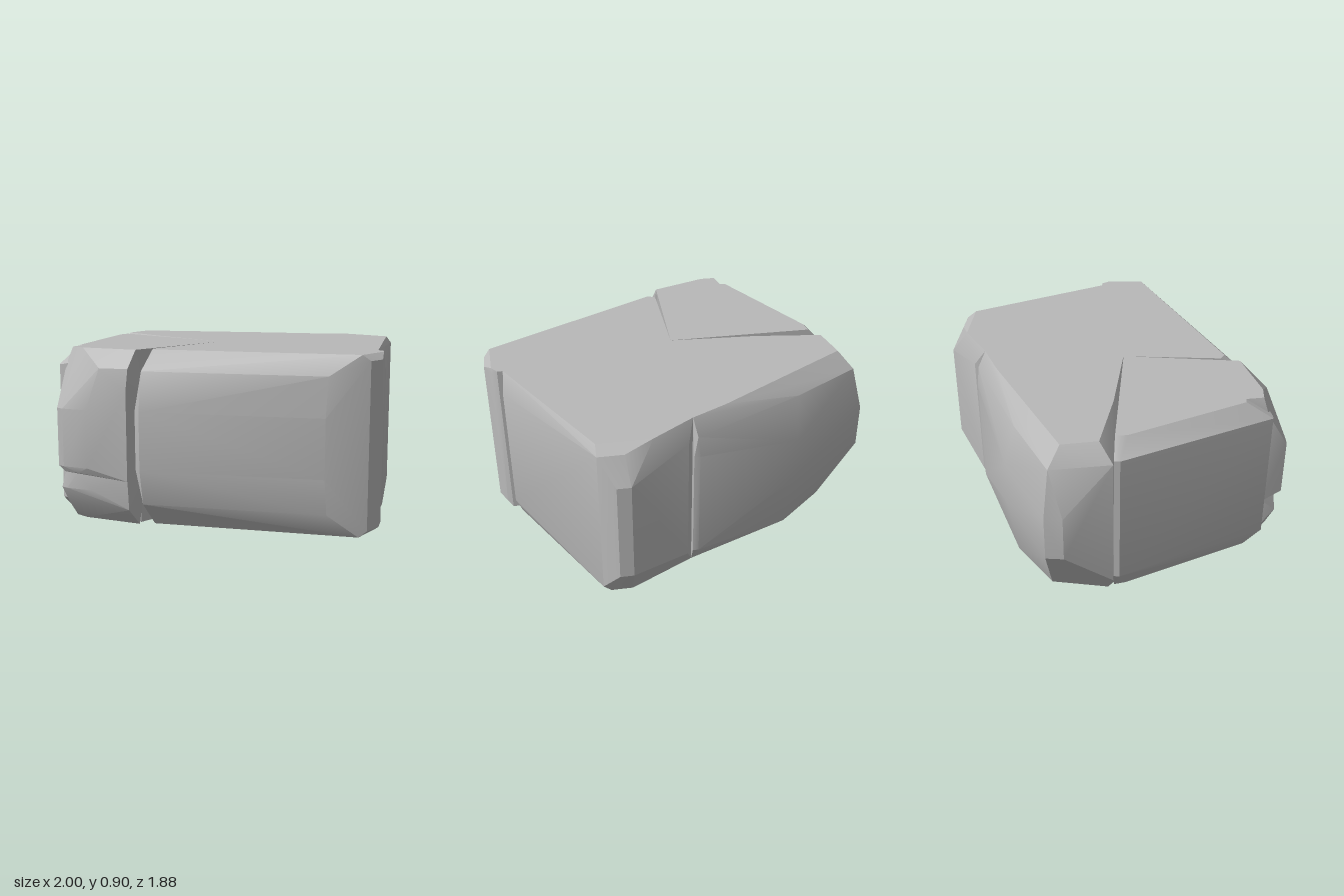
import * as THREE from 'three';
import { ConvexGeometry } from 'three/addons/geometries/ConvexGeometry.js';
import { toCreasedNormals } from 'three/addons/utils/BufferGeometryUtils.js';

export function createModel() {
  const group = new THREE.Group();
  group.name = 'crackedBoulder';
  const stone = new THREE.MeshStandardMaterial({ color: 0xb8b8b8 });
  stone.name = 'grey stone';

  // One faceted chunk: each ring is [heights, [x, z] points placed at all those heights]
  function chunk(name, rings) {
    const points = [];
    for (const [heights, outline] of rings)
      for (const y of heights)
        for (const [x, z] of outline) points.push(new THREE.Vector3(x, y, z));
    const mesh = new THREE.Mesh(toCreasedNormals(new ConvexGeometry(points), 0.42), stone);
    mesh.name = name;
    group.add(mesh);
  }

  // Front left-hand block with the wide front face
  chunk('frontLeftBlock', [
    [[0.9], [[0, 0.07], [0, -0.11], [0.93, -0.11], [0.96, -0.07], [0.97, 0.13], [0.05, 0.61], [0.01, 0.59]]],
    [[0.87, 0.03], [[1, 0], [1, 0.1], [0.96, -0.08]]],
    [[0.8, 0.12], [[0.06, 0.72], [0.87, 0.26], [0.02, 0.67]]],
    [[0.6, 0.3], [[0.07, 0.75], [0.87, 0.28], [0.03, 0.74]]],
    [[0], [[0, 0.07], [0, -0.11], [0.93, -0.1], [0.97, 0.13], [0.05, 0.63], [0.01, 0.6]]],
  ]);

  // Back left-hand block
  chunk('backLeftBlock', [
    [[0.9], [[0, 0.07], [0.01, -0.68], [0.22, -0.82], [0.49, -0.82], [0.9, -0.11], [0.2, -0.11]]],
    [[0.86, 0.05], [[0.36, -0.87], [0.49, -0.87]]],
    [[0.8, 0.1], [[0.91, -0.17], [0.91, -0.11], [0.04, -0.75]]],
    [[0.72, 0.17], [[0.34, -0.94], [0.41, -0.94]]],
    [[0], [[0, 0.07], [0.01, -0.68], [0.34, -0.85], [0.45, -0.85], [0.88, -0.14], [0.88, -0.11]]],
  ]);

  // Back right-hand block with the pointed end
  chunk('backRightBlock', [
    [[0.9], [[0.01, 0.07], [0.01, -0.68], [-0.17, -0.59], [-0.57, -0.34], [-0.86, -0.18], [-0.82, 0], [-0.46, 0.045]]],
    [[0.81], [[-0.94, -0.23], [-0.88, 0.07], [-0.58, -0.44], [-0.01, -0.72]]],
    [[0.57, 0.33], [[-1, -0.25], [-1, -0.16], [-0.58, -0.5]]],
    [[0.7, 0.1], [[0.01, -0.73], [-0.02, -0.73], [-0.88, 0.07], [-0.85, 0.07]]],
    [[0], [[0.01, 0.07], [0.01, -0.68], [-0.55, -0.46], [-0.8, -0.25], [-0.82, 0.04], [-0.78, 0.07]]],
  ]);

  // Front right-hand block
  chunk('frontRightBlock', [
    [[0.9], [[0, 0.07], [-0.77, 0.07], [-0.76, 0.13], [-0.43, 0.7], [-0.28, 0.7], [-0.01, 0.69]]],
    [[0.81, 0.1], [[-0.85, 0.07], [-0.85, 0.1], [-0.43, 0.84], [-0.41, 0.84]]],
    [[0], [[0, 0.07], [-0.8, 0.07], [-0.78, 0.13], [-0.43, 0.75], [-0.02, 0.66]]],
  ]);

  // Split nose at the front corner, parted by a short undercut
  chunk('upperNose', [
    [[0.9], [[-0.4, 0.7], [-0.38, 0.79], [-0.3, 0.79], [-0.14, 0.73], [-0.01, 0.69]]],
    [[0.81], [[0.005, 0.76], [-0.4, 0.82], [-0.13, 0.83]]],
    [[0.7, 0.24], [[0.01, 0.78], [0.01, 0.65]]],
    [[0.6, 0.3], [[-0.34, 0.935], [-0.3, 0.935], [-0.17, 0.89]]],
    [[0.27], [[-0.4, 0.83], [-0.4, 0.65], [-0.31, 0.92], [-0.23, 0.9]]],
  ]);
  chunk('lowerNose', [
    [[0.265], [[-0.4, 0.7], [-0.39, 0.83], [-0.33, 0.9], [-0.25, 0.89], [0.01, 0.78], [0.01, 0.65]]],
    [[0.18], [[-0.35, 0.91], [-0.31, 0.91], [-0.17, 0.86]]],
    [[0.09], [[-0.4, 0.82], [-0.34, 0.87], [0.01, 0.77]]],
    [[0], [[-0.4, 0.7], [-0.38, 0.79], [-0.3, 0.79], [0, 0.69]]],
  ]);

  return group;
}
